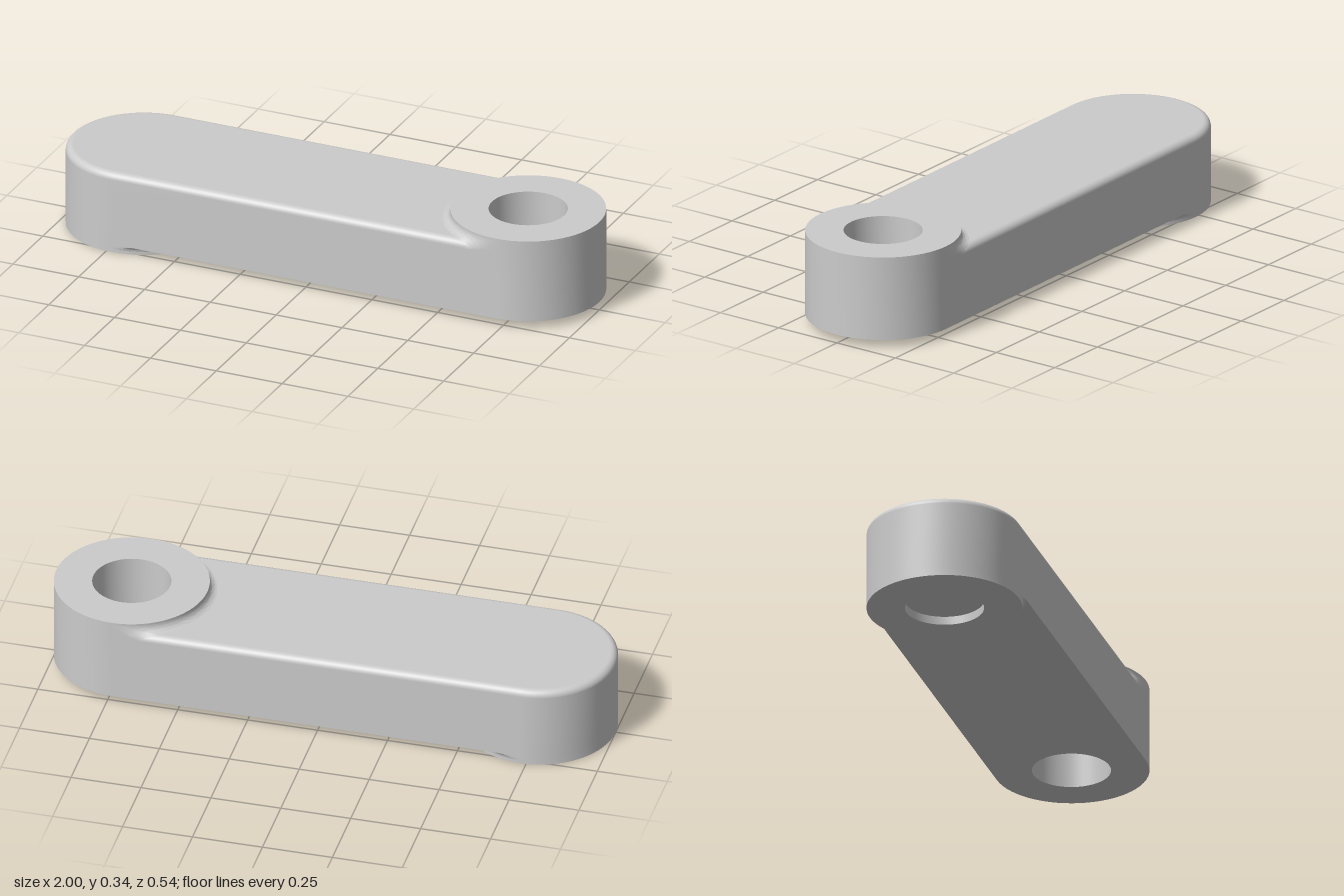
import * as THREE from 'three';
import { toCreasedNormals } from 'three/addons/utils/BufferGeometryUtils.js';

const R = 0.27, HOLE = 0.137, CX = 0.73; // end radius, bore radius, boss centre
const BOTTOM = 0.03, TOP = 0.3, BOSS_TOP = 0.335, ROUND = 0.025;
const SEG = 64;

const grey = new THREE.MeshStandardMaterial({ color: 0xcccccc, side: THREE.DoubleSide });

function mesh(name, geometry) {
  const m = new THREE.Mesh(geometry, grey);
  m.name = name;
  return m;
}

// Outline of the arm, inset by d: straight side, round end, straight side, up to the boss
function armOutline(d) {
  const r = R - d;
  const endX = CX - Math.sqrt(Math.max(0, R * R - r * r));
  const pts = [new THREE.Vector2(endX, r)];
  for (let i = 0; i <= SEG / 2; i++) {
    const a = Math.PI / 2 + (i / (SEG / 2)) * Math.PI;
    pts.push(new THREE.Vector2(-CX + r * Math.cos(a), r * Math.sin(a)));
  }
  pts.push(new THREE.Vector2(endX, -r));
  return pts;
}

// Flat face of the arm, closed by the concave arc around the boss
function armCap(d) {
  const pts = armOutline(d);
  const start = Math.PI - Math.asin((R - d) / R);
  const n = 32;
  for (let i = 1; i < n; i++) {
    const a = -start + (i / n) * (2 * start - 2 * Math.PI);
    pts.push(new THREE.Vector2(CX + R * Math.cos(a), R * Math.sin(a)));
  }
  return new THREE.ShapeGeometry(new THREE.Shape(pts));
}

// Side wall of the arm, rolling over into the rounded top edge
function armWall() {
  const levels = [[0, BOTTOM]];
  for (let i = 0; i <= 8; i++) {
    const a = (i / 8) * Math.PI / 2;
    levels.push([ROUND * (1 - Math.cos(a)), TOP - ROUND + ROUND * Math.sin(a)]);
  }
  const pos = [], index = [];
  let n = 0;
  levels.forEach(([d, y], j) => {
    const pts = armOutline(d);
    n = pts.length;
    pts.forEach((p) => pos.push(p.x, y, p.y));
    if (j === 0) return;
    for (let i = 0; i < n - 1; i++) {
      const a = (j - 1) * n + i, b = a + n;
      index.push(a + 1, a, b, a + 1, b, b + 1);
    }
  });
  const g = new THREE.BufferGeometry();
  g.setAttribute('position', new THREE.Float32BufferAttribute(pos, 3));
  g.setIndex(index);
  g.computeVertexNormals();
  return g;
}

function turned(profile) {
  const g = new THREE.LatheGeometry(profile.map(([x, y]) => new THREE.Vector2(x, y)), SEG);
  return toCreasedNormals(g, 0.6);
}

// Concave fillet round half a boss, trimmed to the arm width and following its edge rounding
function fillet(radius, edgeRound) {
  const profile = [];
  for (let i = 0; i <= 8; i++) {
    const a = (i / 8) * Math.PI / 2;
    profile.push(new THREE.Vector2(R + radius * (1 - Math.sin(a)), radius * (1 - Math.cos(a))));
  }
  const g = new THREE.LatheGeometry(profile, SEG, Math.PI, Math.PI);
  const p = g.attributes.position;
  for (let i = 0; i < p.count; i++) {
    const z = THREE.MathUtils.clamp(p.getZ(i), -R, R);
    const over = Math.max(0, Math.abs(z) - (R - edgeRound));
    const drop = edgeRound - Math.sqrt(Math.max(0, edgeRound * edgeRound - over * over));
    const y = p.getY(i);
    p.setY(i, y - drop * (1 - y / radius));
    p.setZ(i, z);
  }
  return toCreasedNormals(g, 0.6);
}

export function createModel() {
  const model = new THREE.Group();
  model.name = 'crankArm';

  // Arm
  const arm = new THREE.Group();
  arm.name = 'arm';
  const top = mesh('armTop', armCap(ROUND).rotateX(-Math.PI / 2));
  top.position.y = TOP;
  const under = mesh('armUnderside', armCap(0).rotateX(Math.PI / 2));
  under.position.y = BOTTOM;
  arm.add(mesh('armWall', armWall()), top, under);

  // Raised boss with a through bore
  const upper = mesh('upperBoss', turned([
    [HOLE, BOTTOM], [R, BOTTOM], [R, BOSS_TOP], [HOLE, BOSS_TOP], [HOLE, BOTTOM],
  ]));
  upper.position.x = CX;

  // Lower boss with a shallow recess
  const lower = mesh('lowerBoss', turned([[HOLE, BOTTOM], [HOLE, 0], [R, 0], [R, BOTTOM]]));
  lower.position.x = -CX;

  // Fillets between bosses and arm
  const upperFillet = mesh('upperFillet', fillet(0.027, ROUND));
  upperFillet.position.set(CX, TOP, 0);
  const lowerFillet = mesh('lowerFillet', fillet(0.018, 0));
  lowerFillet.rotation.z = Math.PI;
  lowerFillet.position.set(-CX, BOTTOM, 0);

  model.add(arm, upper, lower, upperFillet, lowerFillet);
  return model;
}
